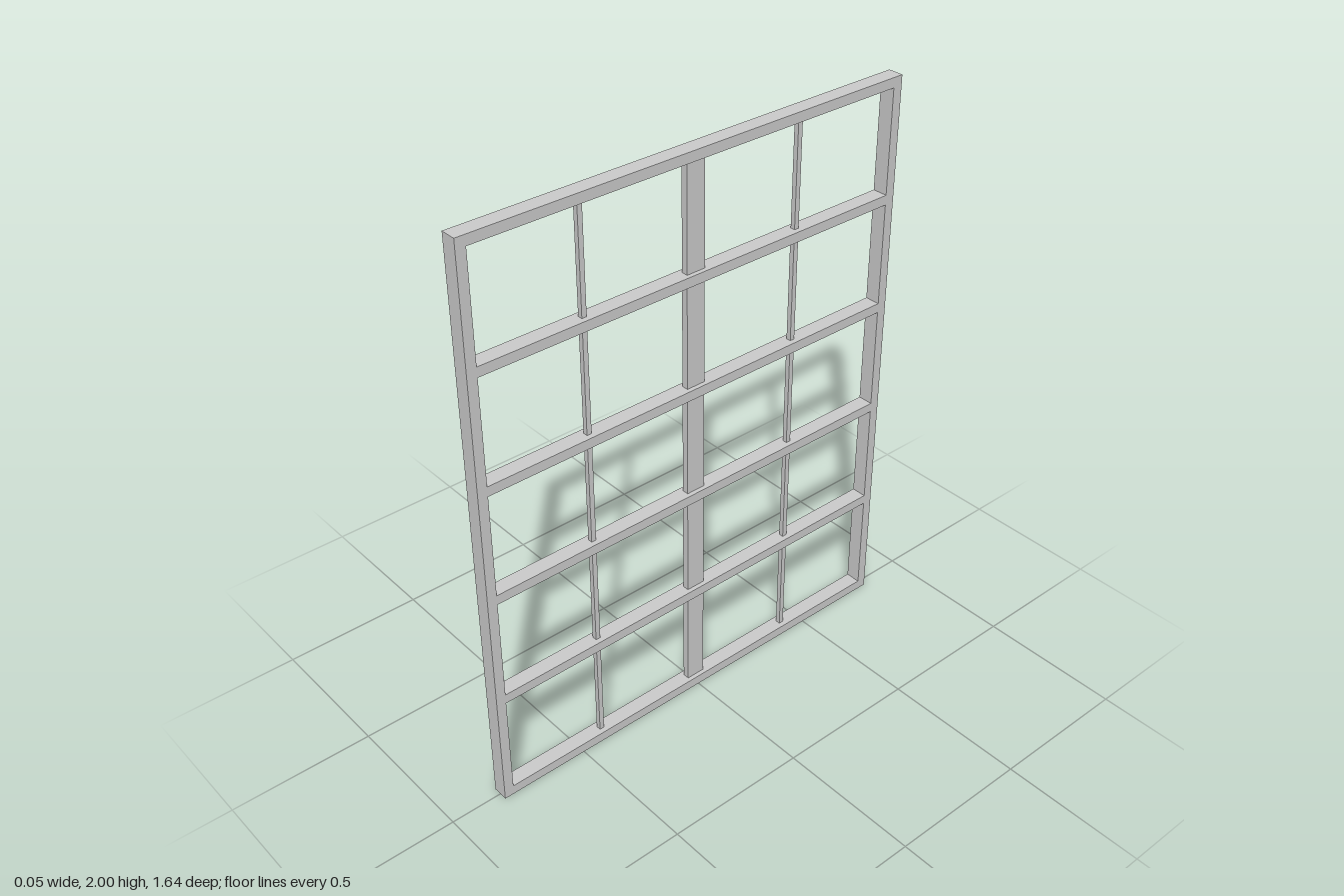
import * as THREE from 'three';

const H = 2, W = 1.636, DEPTH = 0.054, BAR = 0.034;

export function createModel() {
  const group = new THREE.Group();
  const material = new THREE.MeshStandardMaterial({
    color: 0xcccccc, flatShading: true, side: THREE.DoubleSide,
  });

  // Box bar centred on x = 0; openBottom drops the underside
  function addBar(name, depth, height, width, y, z, openBottom = false) {
    const geo = new THREE.BoxGeometry(depth, height, width);
    if (openBottom) {
      const index = Array.from(geo.index.array);
      index.splice(18, 6);
      geo.setIndex(index);
    }
    const mesh = new THREE.Mesh(geo, material);
    mesh.name = name;
    mesh.position.set(0, y, z);
    group.add(mesh);
  }

  // Outer frame: posts stand between the bottom channel and the top rail
  const inner = H - 2 * BAR;
  addBar('bottomRail', DEPTH, BAR, W, BAR / 2, 0, true);
  addBar('topRail', DEPTH, BAR, W, H - BAR / 2, 0);
  for (const s of [-1, 1]) {
    addBar(s > 0 ? 'frontPost' : 'backPost', DEPTH, inner, BAR, H / 2, s * (W - BAR) / 2);
  }

  // Four cross rails dividing the height into five rows
  const step = (H - BAR) / 5;
  for (let i = 1; i < 5; i++) {
    addBar('crossRail' + i, DEPTH, BAR, W - 2 * BAR, BAR / 2 + i * step, 0);
  }

  // Recessed uprights, one length per row
  for (let i = 0; i < 5; i++) {
    const y = BAR / 2 + (i + 0.5) * step;
    addBar('centreMullion', 0.023, step - BAR, 0.068, y, 0);
    for (const s of [-1, 1]) {
      addBar('thinMullion', 0.017, step - BAR, 0.017, y, s * W / 4);
    }
  }
  return group;
}
